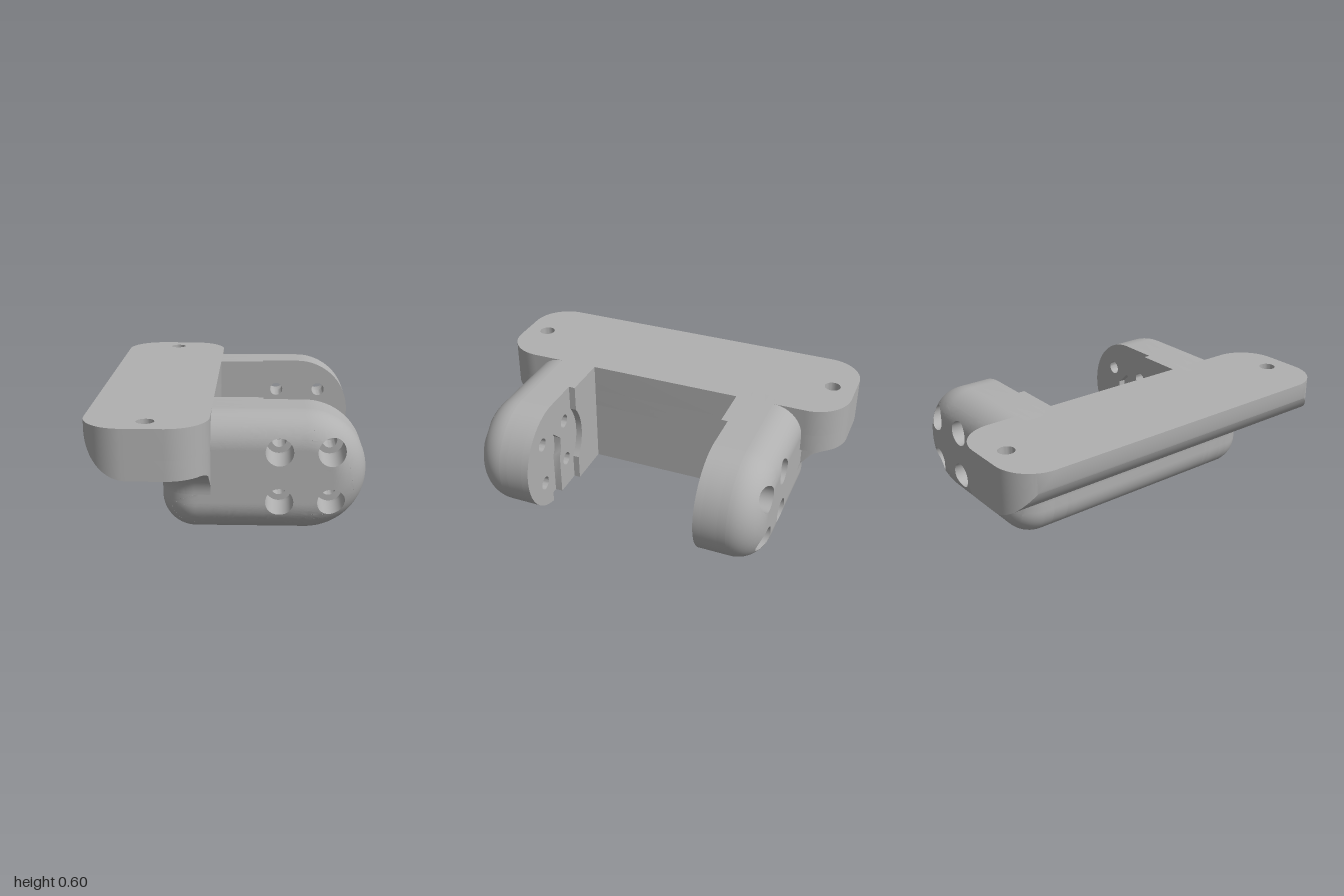
import * as THREE from 'three';
import { toCreasedNormals, mergeGeometries } from 'three/addons/utils/BufferGeometryUtils.js';

const V2 = (x, y) => new THREE.Vector2(x, y);
const V3 = (x, y, z) => new THREE.Vector3(x, y, z);

// Points along an arc, angles in degrees
function arc(cx, cy, r, a0, a1, n = 16) {
  return Array.from({ length: n + 1 }, (_, i) => {
    const a = THREE.MathUtils.degToRad(a0 + (a1 - a0) * i / n);
    return V2(cx + r * Math.cos(a), cy + r * Math.sin(a));
  });
}
const circle = (c, r) => arc(c[0], c[1], r, 0, 360, 32).slice(0, -1);

// Flat plate with holes between two depths
function slab(points, holes, z0, z1) {
  const shape = new THREE.Shape(points);
  shape.holes = holes.map(h => new THREE.Path(h));
  const geo = new THREE.ExtrudeGeometry(shape, { depth: z1 - z0, bevelEnabled: false });
  geo.deleteAttribute('uv');
  return toCreasedNormals(geo.translate(0, 0, z0), 0.5);
}

function fromPoints(points) {
  return new THREE.BufferGeometry().setFromPoints(points);
}

// Surface through rows of points
function grid(rows) {
  const out = [];
  for (let j = 0; j + 1 < rows.length; j++) {
    for (let i = 0; i + 1 < rows[j].length; i++) {
      const a = rows[j][i], b = rows[j][i + 1], c = rows[j + 1][i + 1], d = rows[j + 1][i];
      out.push(a, b, c, a, c, d);
    }
  }
  return fromPoints(out);
}

// Finely divided flat region whose height follows a rule; the longest side is halved until short
function fill(contour, holes, maxLen, height) {
  const pts = [contour, ...holes].flat();
  const out = [];
  const split = (a, b, c) => {
    const ab = a.distanceTo(b), bc = b.distanceTo(c), ca = c.distanceTo(a);
    if (Math.max(ab, bc, ca) < maxLen) {
      out.push(...[a, b, c].map(p => V3(p.x, p.y, height(p.x, p.y))));
    } else if (ab >= bc && ab >= ca) {
      const h = a.clone().add(b).multiplyScalar(0.5);
      split(a, h, c);
      split(h, b, c);
    } else if (bc >= ca) {
      split(b, c, a);
    } else {
      split(c, a, b);
    }
  };
  for (const [i, j, k] of THREE.ShapeUtils.triangulateShape(contour, holes)) split(pts[i], pts[j], pts[k]);
  return fromPoints(out);
}

// Copy reflected front to back, with corner order restored
function mirrorZ(source) {
  const geo = source.clone().scale(1, 1, -1);
  for (const attr of Object.values(geo.attributes)) {
    const a = attr.array;
    for (let i = 0; i < a.length; i += 9) {
      for (let k = 0; k < 3; k++) [a[i + 3 + k], a[i + 6 + k]] = [a[i + 6 + k], a[i + 3 + k]];
    }
  }
  return geo;
}

// Arm dimensions: rounding of the outer edge and where it starts
const F = 0.165, EDGE = 0.625;
const HOLES = [[0.25, 0.175], [0.5, 0.175], [0.25, 0.425], [0.5, 0.425]];
const outline = t => [
  ...arc(0.375, 0.3, 0.3 - t, -90, 90, 48),
  ...arc(-0.16, 0.6 - F, F - t, 90, 180),
  ...arc(-0.16, F, F - t, 180, 270),
];

// Height of the rounded outer face
function outerFace(x, y) {
  const v = Math.abs(y - 0.3);
  let d = 0.3 - v;
  if (x > 0.375) d = 0.3 - Math.hypot(x - 0.375, v);
  else if (x < -0.16) d = F - Math.hypot(-0.16 - x, Math.max(v - 0.3 + F, 0));
  const u = F - THREE.MathUtils.clamp(d, 0, F);
  return EDGE + Math.sqrt(F * F - u * u);
}

function armGeometry() {
  const small = () => HOLES.map(c => circle(c, 0.037));
  const large = () => HOLES.map(c => circle(c, 0.068));

  // Raised inner pad with a curved notch
  const a = THREE.MathUtils.radToDeg(Math.atan2(0.16, 0.205));
  const pad = [V2(-0.1, 0), V2(0.17, 0), ...arc(0.375, 0.3, 0.26, 180 + a, 180 - a), V2(0.17, 0.6), V2(-0.1, 0.6)];

  // Inner layer with the pointed groove open at the bottom
  const grooved = [
    ...outline(0).filter(p => !(p.y < 0.1 && p.x > 0.32 && p.x < 0.426)),
    V2(0.325, 0), V2(0.325, 0.23), V2(0.305, 0.27), V2(0.305, 0.35), V2(0.375, 0.415),
    V2(0.445, 0.35), V2(0.445, 0.27), V2(0.425, 0.23), V2(0.425, 0.004),
  ];

  // Rounded rim, outer face and walls of the screw recesses
  const inset = 0.05, top = Math.acos(1 - inset / F), rim = [];
  for (let k = 0; k <= 8; k++) {
    const th = top * k / 8;
    const loop = outline(F * (1 - Math.cos(th)));
    rim.push([...loop, loop[0]].map(p => V3(p.x, p.y, EDGE + F * Math.sin(th))));
  }
  const walls = HOLES.map(c => {
    const ring = arc(c[0], c[1], 0.068, 360, 0, 32);
    return grid([ring.map(p => V3(p.x, p.y, 0.6)), ring.map(p => V3(p.x, p.y, outerFace(p.x, p.y)))]);
  });
  const shell = mergeGeometries([grid(rim), fill(outline(inset), large(), 0.025, outerFace), ...walls]);

  return mergeGeometries([
    slab(pad, [], 0.42, 0.456),
    slab(grooved, small(), 0.455, 0.495),
    slab(outline(0), small(), 0.495, 0.58),
    slab(outline(0), large(), 0.58, EDGE),
    toCreasedNormals(shell, 0.6),
  ]);
}

// Rounded back edge of the mounting plate, lofted along x
function plateEdgeGeometry() {
  const rows = [];
  for (let i = 0; i <= 32; i++) {
    const th = Math.PI / 2 * i / 32;
    const x = -0.445 - 0.23 * Math.cos(th), y = 0.6 - 0.25 * Math.sin(th);
    const w = x < -0.475 ? 0.8 + Math.sqrt(Math.max(0, 0.04 - (x + 0.475) ** 2)) : 1;
    rows.push([V3(x, 0.6, -w), V3(x, 0.6, w), V3(x, y, w), V3(x, y, -w), V3(x, 0.6, -w)]);
  }
  return toCreasedNormals(grid(rows), 0.6);
}

// Concave blend under the plate, trimmed by the plate corners and screw recesses
function blendGeometry() {
  const R = 0.14, half = [];
  for (let i = 0; i < 12; i++) half.push([-0.08 - 0.08 * i / 12, 0.79, 0, 1]);
  for (let i = 0; i <= 32; i++) {
    const a = Math.PI / 2 * (1 + i / 32), c = Math.cos(a), s = Math.sin(a);
    half.push([-0.16 + F * c, 0.625 + F * s, c, s]);
  }
  const path = [...half.map(([x, z, nx, nz]) => [x, -z, nx, -nz]), ...half.slice().reverse()];
  const free = (x, z) => Math.hypot(x + 0.375, z - 0.875) >= 0.065
    && !(x > -0.28 && z > 0.8 && Math.hypot(x + 0.28, z - 0.8) > 0.2);
  const limit = path.map(([x, z, nx, nz]) => {
    let s = 0;
    while (s < R - 0.0005 && free(x + nx * (s + 0.001), Math.abs(z + nz * (s + 0.001)))) s += 0.001;
    return Math.min(s, R);
  });
  const rows = [];
  for (let j = 0; j <= 17; j++) {
    rows.push(path.map(([x, z, nx, nz], i) => {
      const s = Math.min(R * (1 - Math.cos(Math.PI / 2 * Math.min(j, 16) / 16)), limit[i]);
      const y = j === 17 ? 0.35 : 0.21 + Math.sqrt(Math.max(0, R * R - (R - s) ** 2));
      return V3(x + nx * s, y, z + nz * s);
    }));
  }
  return toCreasedNormals(grid(rows), 0.6);
}

export function createModel() {
  const group = new THREE.Group();
  const grey = new THREE.MeshStandardMaterial({ color: 0xb0b0b0, side: THREE.DoubleSide });
  grey.name = 'grey plastic';
  const add = (name, geo) => {
    const mesh = new THREE.Mesh(geo, grey);
    mesh.name = name;
    group.add(mesh);
  };

  // Mounting plate with stepped screw holes
  const plan = [V2(-0.445, -1), ...arc(-0.28, -0.8, 0.2, -90, 0), ...arc(-0.28, 0.8, 0.2, 0, 90), V2(-0.445, 1)];
  const screws = r => [-0.875, 0.875].map(z => circle([-0.375, z], r));
  add('mountingPlate', mergeGeometries([
    slab(plan, screws(0.065), 0.35, 0.45),
    slab(plan, screws(0.043), 0.45, 0.6),
  ]).rotateX(-Math.PI / 2));
  add('plateRoundedEdge', plateEdgeGeometry());

  // Beam under the plate joining the arms
  add('crossBeam', slab([V2(-0.08, 0), V2(-0.08, 0.4), V2(-0.325, 0.4), ...arc(-0.16, F, F, 180, 270)], [], -0.46, 0.46));
  add('plateBlend', blendGeometry());

  // Pair of arms
  const arm = armGeometry();
  add('frontArm', arm);
  add('backArm', mirrorZ(arm));
  return group;
}
